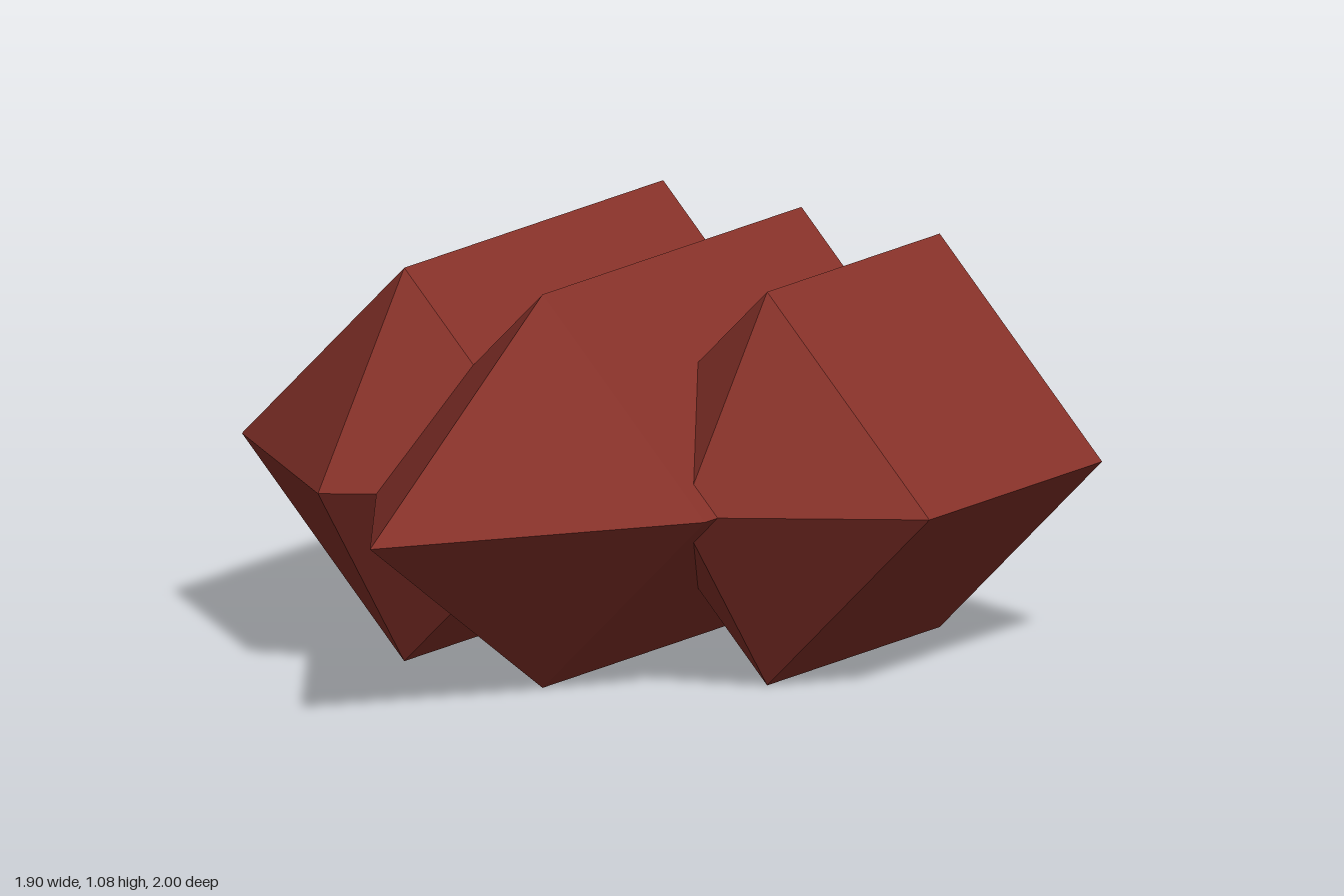
import * as THREE from 'three';

const R = 0.54;     // half diagonal of the square section
const END = 0.95;   // x of the open ends

export function createModel() {
  const group = new THREE.Group();
  group.name = 'crystalCluster';
  const brickRed = new THREE.MeshStandardMaterial({ color: 0x853129 });
  brickRed.name = 'brickRed';
  brickRed.flatShading = true;
  brickRed.side = THREE.DoubleSide;

  // Hollow square tube on its corner, closed by a pyramid that points to -x
  function addShard(name, z, shoulder, tip) {
    const shard = new THREE.Group();
    shard.name = name;

    const tubeLength = END - shoulder;
    const tube = new THREE.CylinderGeometry(R, R, tubeLength, 4, 1, true);
    tube.rotateZ(Math.PI / 2).translate(shoulder + tubeLength / 2, 0, 0);
    const body = new THREE.Mesh(tube, brickRed);
    body.name = name + 'Body';

    const tipLength = shoulder - tip;
    const cone = new THREE.ConeGeometry(R, tipLength, 4, 1, true);
    cone.rotateZ(Math.PI / 2).translate(tip + tipLength / 2, 0, 0);
    const point = new THREE.Mesh(cone, brickRed);
    point.name = name + 'Point';

    shard.add(body, point);
    shard.position.set(0, R, z);
    group.add(shard);
  }

  addShard('backShard', -0.46, -0.19, -0.57);
  addShard('middleShard', 0, -0.19, -0.95);
  addShard('frontShard', 0.46, 0.19, -0.19);
  return group;
}
